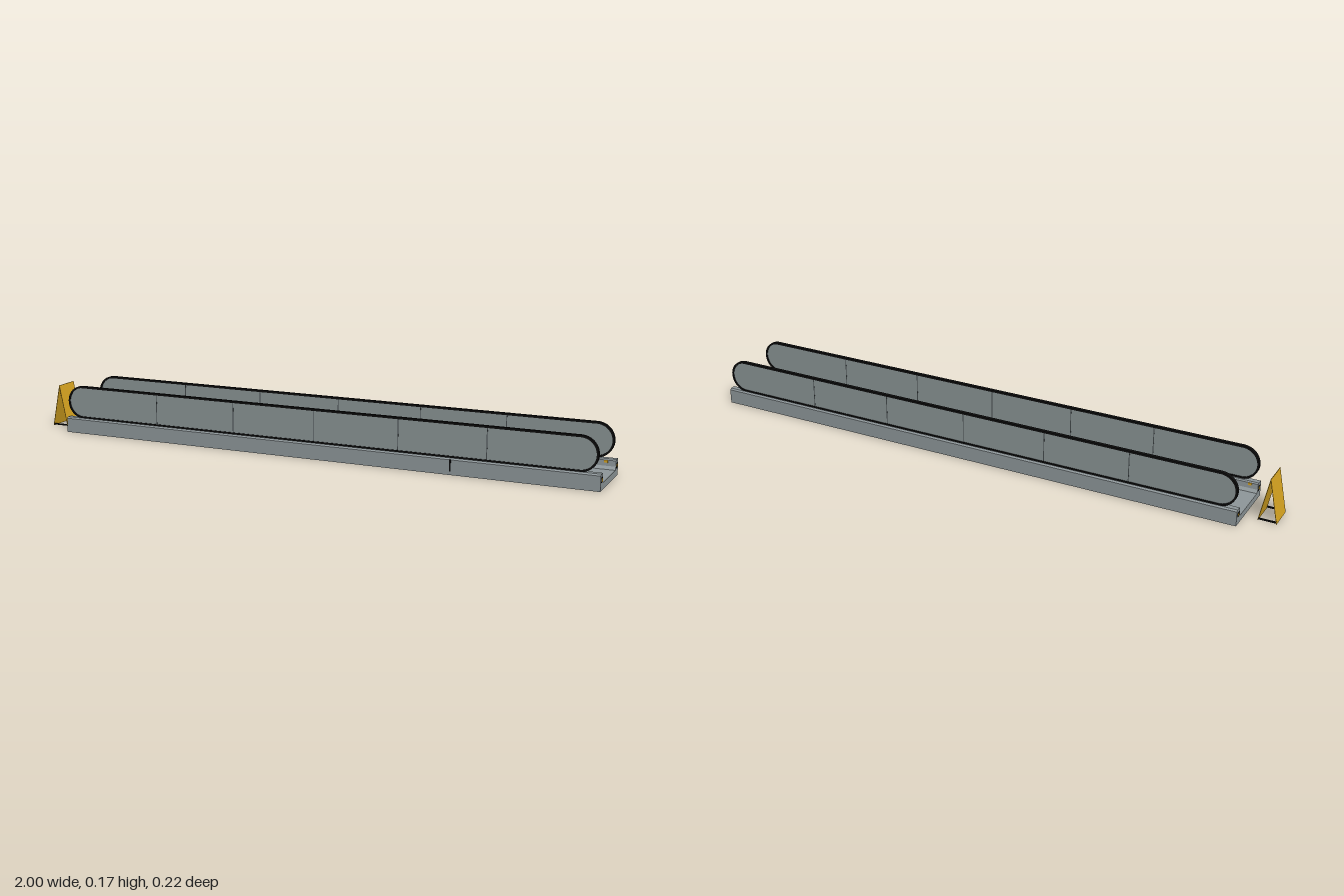
import * as THREE from 'three';

const mat = (name, color, side = THREE.FrontSide) => {
  const m = new THREE.MeshStandardMaterial({ color, side });
  m.name = name;
  return m;
};

export function createModel() {
  const steel = mat('steel grey', 0x8f989b);
  const panelGrey = mat('panel grey', 0x8b9596);
  const beltGrey = mat('belt grey', 0x7d8486);
  const black = mat('rubber black', 0x0c0c0c);
  const seamGrey = mat('seam grey', 0x454b4d);
  const stainGrey = mat('stain grey', 0x5c6062, THREE.DoubleSide);
  const gold = mat('safety yellow', 0xdba721, THREE.DoubleSide);

  const root = new THREE.Group();
  root.name = 'movingWalkway';

  const add = (name, geo, material, parent = root) => {
    const mesh = new THREE.Mesh(geo, material);
    mesh.name = name;
    parent.add(mesh);
    return mesh;
  };
  // Box given by its min and max corners
  const box = (name, x0, x1, y0, y1, z0, z1, material, parent = root) => {
    const mesh = add(name, new THREE.BoxGeometry(x1 - x0, y1 - y0, z1 - z0), material, parent);
    mesh.position.set((x0 + x1) / 2, (y0 + y1) / 2, (z0 + z1) / 2);
    return mesh;
  };
  const rect = (Type, x0, x1, y0, y1) => new Type(
    [[x0, y0], [x1, y0], [x1, y1], [x0, y1]].map(p => new THREE.Vector2(...p)));

  const X0 = -0.895, X1 = 1.0;
  const B0 = -0.79, B1 = 0.89, BZ = 0.08;

  // Base frame, open underneath the belt
  const frameShape = rect(THREE.Shape, X0, X1, -0.1, 0.1);
  frameShape.holes.push(rect(THREE.Path, B0, B1, -BZ, BZ));
  const frameGeo = new THREE.ExtrudeGeometry(frameShape, { depth: 0.022, bevelEnabled: false });
  frameGeo.rotateX(-Math.PI / 2);
  add('baseFrame', frameGeo, steel);

  // Belt with lengthwise grooves and cross joints
  box('belt', B0, B1, 0.016, 0.0215, -BZ, BZ, beltGrey);
  for (let i = 0; i < 10; i++) {
    const z = -0.063 + i * 0.014;
    box('beltGroove', B0 + 0.01, B1 - 0.01, 0.0213, 0.0222, z - 0.0012, z + 0.0012, seamGrey);
  }
  for (const x of [-0.83, -0.53, 0.045, 0.11, 0.36, 0.68]) {
    box('crossJoint', x - 0.002, x + 0.002, 0.0214, 0.0226, -0.074, 0.074, black);
  }
  // Missing pallets
  box('openPit', -0.145, -0.025, 0.008, 0.0228, -0.073, 0.071, black);

  // Yellow borders of the belt
  box('borderRear', B0, B1, 0.0214, 0.0235, -0.077, -0.071, gold);
  for (const x of [B0 + 0.005, B1 - 0.005]) {
    box('borderEnd', x - 0.005, x + 0.005, 0.0214, 0.0235, -0.072, 0.072, gold);
  }

  // Lens-shaped mats on the landings
  for (const x of [-0.812, 0.908]) {
    const pad = add('landingMat', new THREE.CylinderGeometry(1, 1, 0.002, 28), black);
    pad.scale.set(0.018, 1, 0.056);
    pad.position.set(x, 0.0222, 0);
  }

  // Irregular stains lying on the belt
  let seed = 7;
  const rnd = () => (seed = (seed * 16807) % 2147483647) / 2147483647;
  for (const [x, z, rx, rz] of [
    [-0.55, -0.038, 0.045, 0.01], [-0.65, 0.033, 0.06, 0.013], [-0.14, 0.022, 0.075, 0.02],
    [0.24, -0.032, 0.07, 0.013], [0.29, -0.005, 0.065, 0.027], [0.7, 0.005, 0.055, 0.015],
  ]) {
    const pts = [];
    for (let i = 0; i < 16; i++) {
      const a = i / 16 * Math.PI * 2, r = 0.65 + 0.4 * rnd();
      pts.push(new THREE.Vector2(Math.cos(a) * rx * r, Math.sin(a) * rz * r));
    }
    const geo = new THREE.ShapeGeometry(new THREE.Shape(new THREE.SplineCurve([...pts, pts[0]]).getPoints(48)));
    geo.rotateX(-Math.PI / 2);
    add('stain', geo, stainGrey).position.set(x, 0.0238, z);
  }

  // Rounded-end outline shared by the side panel and handrail
  const stadium = (Type, inset) => {
    const r = 0.057 - inset, a = -0.89 + 0.057, b = 0.99 - 0.057, y = 0.11;
    const s = new Type();
    s.moveTo(a, y - r);
    s.lineTo(b, y - r);
    s.absarc(b, y, r, -Math.PI / 2, Math.PI / 2, false);
    s.lineTo(a, y + r);
    s.absarc(a, y, r, Math.PI / 2, Math.PI * 1.5, false);
    return s;
  };
  const slab = (shape, depth) => {
    const g = new THREE.ExtrudeGeometry(shape, { depth, bevelEnabled: false, curveSegments: 20 });
    return g.translate(0, 0, -depth / 2);
  };

  for (const s of [1, -1]) {
    const side = new THREE.Group();
    side.name = s > 0 ? 'frontBalustrade' : 'rearBalustrade';
    root.add(side);
    const zbox = (name, x0, x1, y0, y1, za, zb, m) =>
      box(name, x0, x1, y0, y1, Math.min(s * za, s * zb), Math.max(s * za, s * zb), m, side);

    // Curb with bevelled edges
    const profile = [[0.112, 0], [0.112, 0.049], [0.107, 0.054], [0.089, 0.054],
      [0.085, 0.05], [0.084, 0.032], [0.077, 0.022], [0.077, 0.02], [0.095, 0.018], [0.095, 0]];
    const curb = new THREE.ExtrudeGeometry(
      new THREE.Shape(profile.map(([z, y]) => new THREE.Vector2(-s * z, y))),
      { depth: X1 - X0, bevelEnabled: false });
    curb.rotateY(Math.PI / 2);
    add('curb', curb, steel, side).position.x = X0;

    // Safety brush beside the belt
    zbox('skirtBrush', B0, B1, 0.027, 0.0295, 0.078, 0.086, black);

    // Panel with seams, wrapped by the handrail
    add('sidePanel', slab(stadium(THREE.Shape, 0.005), 0.007), panelGrey, side).position.z = s * 0.1;
    const ring = stadium(THREE.Shape, 0);
    ring.holes.push(stadium(THREE.Path, 0.0065));
    add('handrail', slab(ring, 0.012), black, side).position.z = s * 0.1;
    for (let i = 0; i < 5; i++) {
      const x = -0.535 + i * 0.294;
      zbox('panelSeam', x - 0.0014, x + 0.0014, 0.06, 0.16, 0.0962, 0.1038, seamGrey);
    }

    // Square sockets with round yellow caps on both ends
    for (const [x, d] of [[X0, -1], [X1, 1]]) {
      box('socket', x - 0.0008, x + 0.0008, 0.026, 0.042, s * 0.096 - 0.008, s * 0.096 + 0.008, black, side);
      const cap = add('socketCap', new THREE.CylinderGeometry(0.006, 0.006, 0.002, 18), gold, side);
      cap.rotation.z = Math.PI / 2;
      cap.position.set(x + d * 0.0006, 0.034, s * 0.096);
    }
    // Small sensors at the handrail ends
    for (const x of [-0.868, 0.968]) {
      zbox('sensor', x - 0.006, x + 0.006, 0.042, 0.05, 0.083, 0.0895, gold);
    }
  }
  box('curbJoint', 0.523, 0.528, 0.012, 0.05, 0.1115, 0.1125, black);

  // Folding warning sign
  const sign = new THREE.Group();
  sign.name = 'warningSign';
  sign.position.x = -0.97;
  root.add(sign);
  const H = 0.148, W = 0.03;
  for (const s of [1, -1]) {
    const board = box('signBoard', -0.0006, 0.0006, 0, Math.hypot(H, W), -0.045, 0.045, gold, sign);
    board.position.set(s * (W - 0.0006) / 2, H / 2, 0);
    board.rotation.z = s * Math.atan2(W, H);
    box('signBrace', -W + 0.001, W - 0.001, 0.003, 0.008, s * 0.042 - 0.002, s * 0.042 + 0.002, black, sign);
  }
  return root;
}
